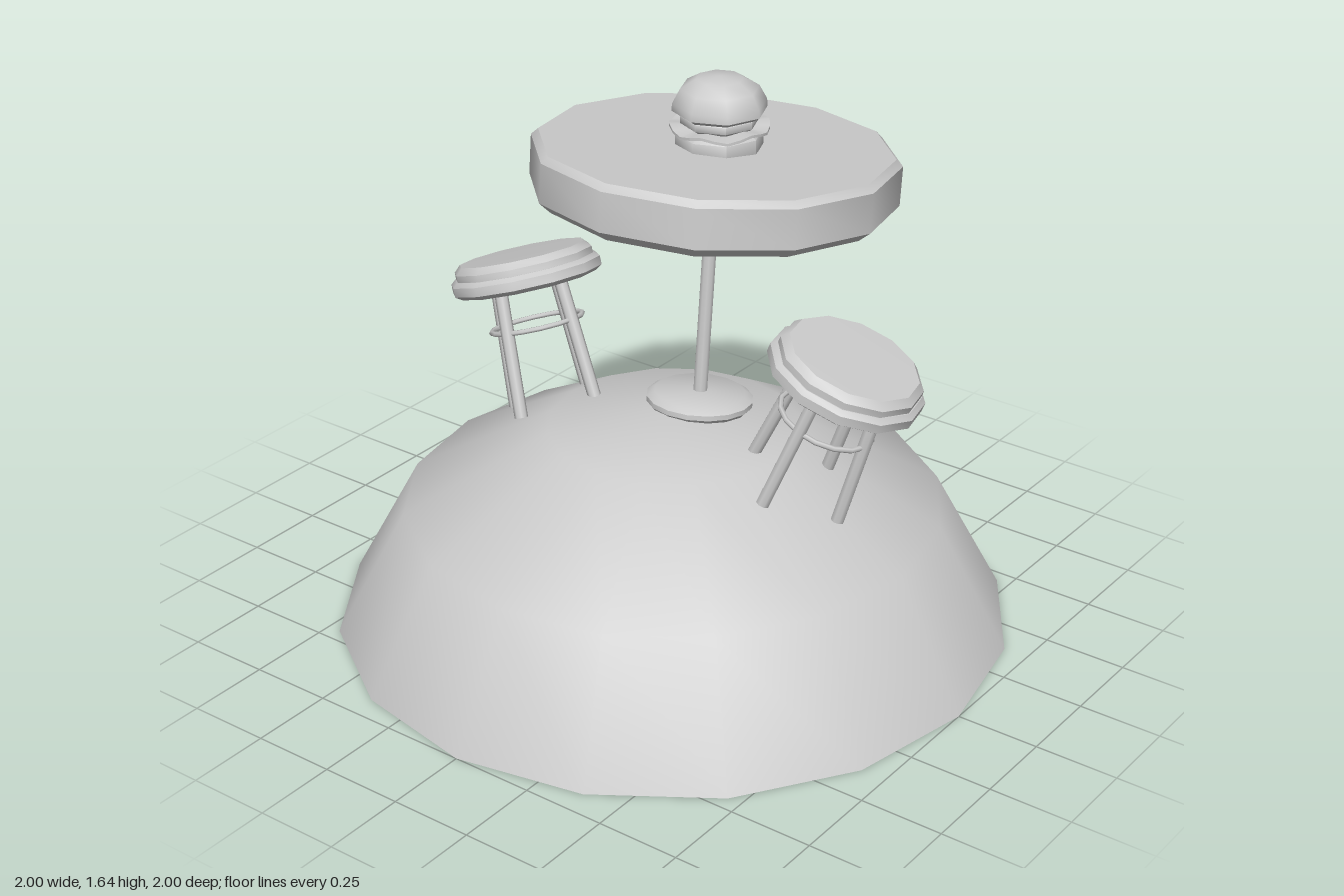
import * as THREE from 'three';
import { toCreasedNormals } from 'three/addons/utils/BufferGeometryUtils.js';

const grey = new THREE.MeshStandardMaterial({ color: 0xcccccc });
const thin = new THREE.MeshStandardMaterial({ color: 0xcccccc, side: THREE.DoubleSide });

function add(parent, name, geometry, material = grey) {
  const mesh = new THREE.Mesh(geometry, material);
  mesh.name = name;
  parent.add(mesh);
  return mesh;
}

// Turned solid from [radius, height] pairs listed bottom to top
function turned(points, sides, crease = 0.6) {
  const profile = points.map(([r, y]) => new THREE.Vector2(r, y));
  return toCreasedNormals(new THREE.LatheGeometry(profile, sides), crease);
}

// Straight round bar between two points
function bar(parent, name, a, b, radius, sides = 8) {
  const dir = b.clone().sub(a);
  const mesh = add(parent, name, new THREE.CylinderGeometry(radius, radius, dir.length(), sides));
  mesh.position.copy(a).add(b).multiplyScalar(0.5);
  mesh.quaternion.setFromUnitVectors(new THREE.Vector3(0, 1, 0), dir.normalize());
}

function makeTable() {
  const table = new THREE.Group();
  table.name = 'table';
  add(table, 'tableFoot', turned([[0, -0.02], [0.14, -0.02], [0.158, 0], [0.158, 0.015], [0.135, 0.03], [0, 0.035]], 16));
  bar(table, 'tablePole', new THREE.Vector3(0, 0, 0), new THREE.Vector3(0, 0.65, 0), 0.021, 10);
  add(table, 'tableTop', turned([[0, 0.622], [0.495, 0.622], [0.53, 0.652], [0.53, 0.768], [0.51, 0.787], [0, 0.787]], 12));
  table.position.set(0.01, 0.65, -0.115);
  table.rotation.x = -0.095;
  return table;
}

function makeBurger() {
  const burger = new THREE.Group();
  burger.name = 'burger';
  add(burger, 'bottomBun', turned([[0, -0.02], [0.11, -0.02], [0.126, 0], [0.126, 0.045], [0.11, 0.058], [0, 0.058]], 8, 0.9));
  // Wavy leaf: every ring vertex rises and falls with its angle
  const leaf = new THREE.CylinderGeometry(0.143, 0.143, 0.008, 24);
  const p = leaf.attributes.position;
  for (let i = 0; i < p.count; i++) {
    const r = Math.hypot(p.getX(i), p.getZ(i));
    const wave = Math.sin(Math.atan2(p.getX(i), p.getZ(i)) * 6) * 0.007;
    p.setY(i, p.getY(i) + 0.064 + (r > 0.1 ? wave : 0));
  }
  leaf.computeVertexNormals();
  add(burger, 'lettuce', leaf, thin);
  add(burger, 'patty', turned([[0, 0.066], [0.1, 0.066], [0.112, 0.075], [0.112, 0.095], [0.1, 0.105], [0, 0.105]], 8, 0.9));
  add(burger, 'topBun', turned([[0, 0.1], [0.118, 0.1], [0.137, 0.113], [0.135, 0.135], [0.113, 0.176], [0.068, 0.203], [0, 0.21]], 8, 0.9));
  burger.position.set(0.02, 1.43, -0.19);
  return burger;
}

function makeStool(side) {
  const stool = new THREE.Group();
  stool.name = side > 0 ? 'leftStool' : 'rightStool';
  add(stool, 'seatRim', turned([[0, 0.372], [0.21, 0.372], [0.23, 0.385], [0.23, 0.412], [0.215, 0.425], [0, 0.425]], 12));
  add(stool, 'seatCushion', turned([[0, 0.42], [0.212, 0.42], [0.212, 0.445], [0.192, 0.465], [0, 0.468]], 12));
  for (let i = 0; i < 4; i++) {
    const a = i * Math.PI / 2, c = Math.cos(a), s = Math.sin(a);
    bar(stool, 'stoolLeg', new THREE.Vector3(0.16 * c, 0, 0.16 * s), new THREE.Vector3(0.125 * c, 0.39, 0.125 * s), 0.02);
  }
  add(stool, 'footRing', new THREE.TorusGeometry(0.139, 0.008, 6, 16).rotateX(Math.PI / 2).translate(0, 0.25, 0));
  stool.position.set(0.435 * side, 0.555, 0.01);
  stool.rotation.set(-0.11, 0, -0.345 * side);
  return stool;
}

export function createModel() {
  const model = new THREE.Group();
  model.name = 'hilltopTable';
  add(model, 'hill', turned([[0, 0], [1, 0], [0.795, 0.38], [0.37, 0.615], [0, 0.665]], 16, 0.8));
  model.add(makeTable(), makeBurger(), makeStool(1), makeStool(-1));
  return model;
}
